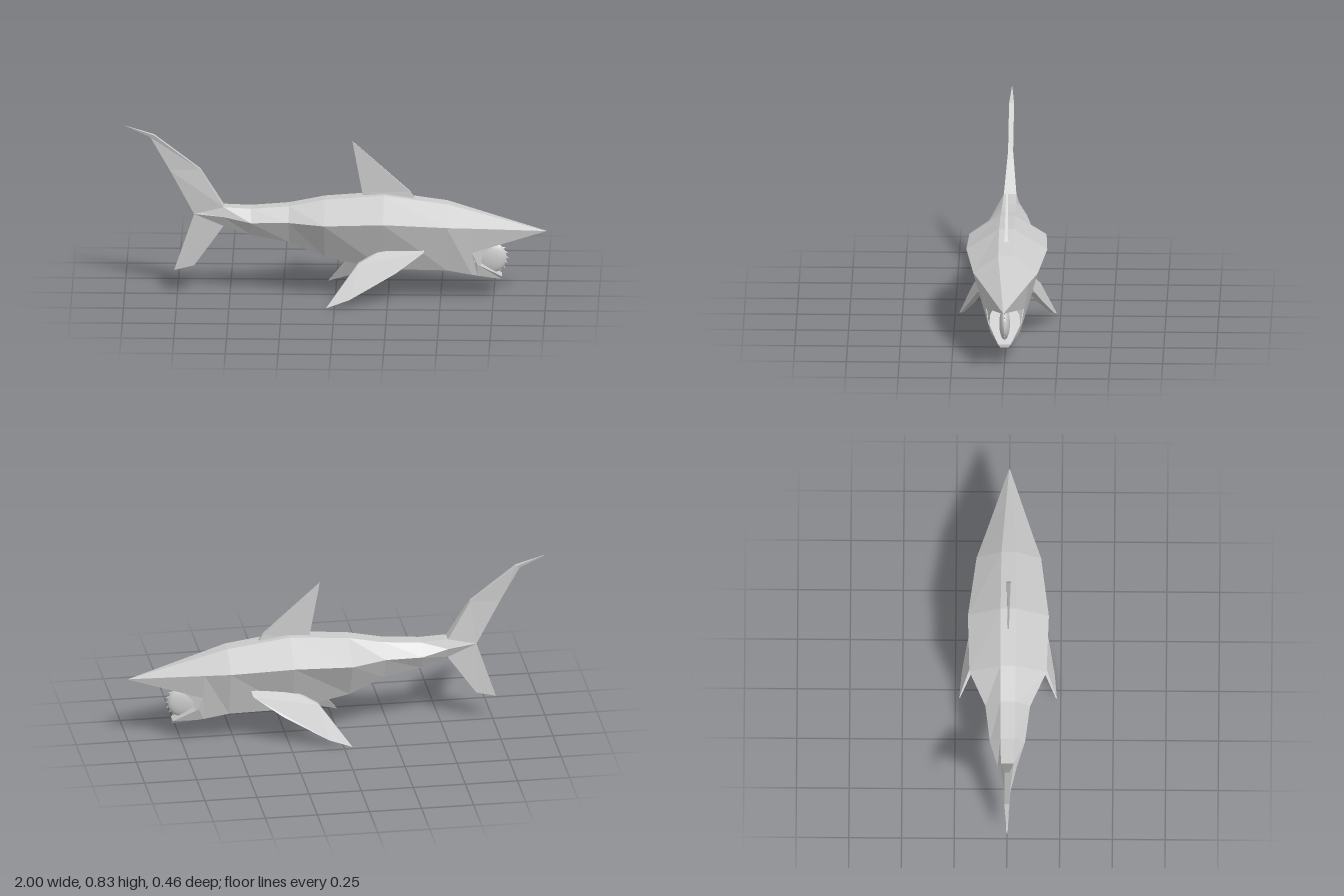
import * as THREE from 'three';

const grey = new THREE.MeshStandardMaterial({ color: 0xcccccc, flatShading: true, side: THREE.DoubleSide });
const smooth = new THREE.MeshStandardMaterial({ color: 0xcccccc });

// Skin a row of cross-sections, each given as its +z half [x, y, z] and mirrored in z.
function loft(name, halves) {
  const rings = halves.map(h => [...h, ...h.slice().reverse().map(([x, y, z]) => [x, y, -z])]);
  const n = rings[0].length;
  let tris = [];
  for (let i = 0; i < rings.length - 1; i++) {
    for (let j = 0; j < n; j++) {
      const k = (j + 1) % n, a = rings[i], b = rings[i + 1];
      tris.push([a[j], b[j], b[k]], [a[j], b[k], a[k]]);
    }
  }
  const first = rings[0], last = rings[rings.length - 1];
  for (let j = 1; j < n - 1; j++) {
    tris.push([first[0], first[j], first[j + 1]], [last[0], last[j + 1], last[j]]);
  }
  // drop collapsed triangles and turn the skin outward
  const v = p => new THREE.Vector3(...p);
  tris = tris.filter(([a, b, c]) => v(b).sub(v(a)).cross(v(c).sub(v(a))).length() > 1e-9);
  const volume = tris.reduce((s, [a, b, c]) => s + v(a).dot(v(b).cross(v(c))), 0);
  if (volume < 0) tris = tris.map(([a, b, c]) => [a, c, b]);
  const g = new THREE.BufferGeometry();
  g.setAttribute('position', new THREE.Float32BufferAttribute(tris.flat(2), 3));
  g.computeVertexNormals();
  const mesh = new THREE.Mesh(g, grey);
  mesh.name = name;
  return mesh;
}

// Swept-back side fin: flat outline leaning outward as it drops
function pectoralFin(side) {
  const outline = [[-0.04, 0.003], [0.11, 0.2], [0.2, 0.25], [0.3, 0.27], [0.43, 0.28],
    [0.42, 0.25], [0.29, 0.16], [0.07, 0.04]];
  const shape = new THREE.Shape(outline.map(p => new THREE.Vector2(...p)));
  const g = new THREE.ExtrudeGeometry(shape, { depth: 1, bevelEnabled: false });
  const p = g.attributes.position;
  for (let i = 0; i < p.count; i++) {
    const y = p.getY(i);
    const thick = Math.min(0.026, 0.004 + y * 0.25);
    p.setZ(i, 0.231 - 0.43 * y + (p.getZ(i) - 0.5) * thick);
  }
  if (side < 0) {
    g.scale(1, 1, -1);
    // restore the winding after mirroring
    for (let i = 0; i < p.count; i += 3) {
      const a = new THREE.Vector3().fromBufferAttribute(p, i + 1);
      const b = new THREE.Vector3().fromBufferAttribute(p, i + 2);
      p.setXYZ(i + 1, b.x, b.y, b.z);
      p.setXYZ(i + 2, a.x, a.y, a.z);
    }
  }
  g.computeVertexNormals();
  const mesh = new THREE.Mesh(g, grey);
  mesh.name = side > 0 ? 'pectoralFinNear' : 'pectoralFinFar';
  return mesh;
}

// Rounded disc with a toothed rim held in the mouth
function sawDisc() {
  const group = new THREE.Group();
  group.name = 'toothedDisc';
  const disc = new THREE.Mesh(new THREE.SphereGeometry(0.077, 28, 18), smooth);
  disc.scale.z = 0.33;
  disc.name = 'disc';
  group.add(disc);
  const count = 20;
  for (let i = 0; i < count; i++) {
    const a = (i / count) * Math.PI * 2;
    const tooth = new THREE.Mesh(new THREE.ConeGeometry(0.011, 0.022, 4), grey);
    tooth.position.set(Math.cos(a) * 0.077, Math.sin(a) * 0.077, 0);
    tooth.rotation.z = a - Math.PI / 2 - 0.3;
    tooth.scale.z = 0.6;
    tooth.name = 'discTooth';
    group.add(tooth);
  }
  group.position.set(0.735, 0.193, 0);
  return group;
}

export function createModel() {
  const model = new THREE.Group();
  model.name = 'shark';

  // Body sections: x, top y, top half width, side y, side half width, belly y, belly half width
  const body = [
    [-0.67, 0.41, 0.006, 0.4, 0.012, 0.39, 0.006],
    [-0.53, 0.44, 0.03, 0.395, 0.045, 0.345, 0.022],
    [-0.4, 0.434, 0.034, 0.377, 0.083, 0.307, 0.04],
    [-0.22, 0.448, 0.035, 0.386, 0.106, 0.275, 0.052],
    [-0.05, 0.482, 0.036, 0.393, 0.183, 0.212, 0.082],
    [0.23, 0.504, 0.037, 0.404, 0.192, 0.157, 0.09],
    [0.53, 0.463, 0.035, 0.38, 0.153, 0.152, 0.088],
    [0.65, 0.428, 0.026, 0.366, 0.113, 0.125, 0.07],
  ];
  model.add(loft('body', body.map(([x, ty, tz, my, mz, by, bz]) => [[x, ty, tz], [x, my, mz], [x, by, bz]])));

  // Pointed snout over the open mouth
  model.add(loft('snout', [
    [[0.65, 0.428, 0.026], [0.65, 0.366, 0.113], [0.65, 0.24, 0.09]],
    [[1, 0.325, 0.001], [1, 0.324, 0.001], [1, 0.323, 0.001]],
  ]));

  // Lower jaw
  model.add(loft('lowerJaw', [
    [[0.648, 0.24, 0.09], [0.648, 0.126, 0.071]],
    [[0.675, 0.18, 0.08], [0.675, 0.119, 0.062]],
    [[0.79, 0.106, 0.03], [0.79, 0.09, 0.018]],
  ]));

  // Cheek webs at the mouth corners
  const corners = [[0.65, 0.24], [0.74, 0.26], [0.7, 0.225], [0.69, 0.172], [0.66, 0.19]];
  const web = new THREE.ShapeGeometry(new THREE.Shape(corners.map(c => new THREE.Vector2(...c))));
  for (const side of [1, -1]) {
    const g = web.clone(), p = g.attributes.position;
    for (let i = 0; i < p.count; i++) p.setZ(i, side * (0.085 - (p.getX(i) - 0.65) * 0.3));
    g.computeVertexNormals();
    const cheek = new THREE.Mesh(g, grey);
    cheek.name = 'cheek';
    model.add(cheek);
  }

  // Tail lobes, each section running from leading to trailing edge
  model.add(loft('upperTail', [
    [[-0.53, 0.44, 0.03], [-0.67, 0.4, 0.012]],
    [[-0.64, 0.62, 0.012], [-0.785, 0.613, 0.006]],
    [[-0.86, 0.787, 0.012], [-0.878, 0.776, 0.006]],
    [[-0.995, 0.831, 0.001], [-0.995, 0.829, 0.001]],
  ]));
  model.add(loft('lowerTail', [
    [[-0.53, 0.345, 0.022], [-0.67, 0.4, 0.012]],
    [[-0.67, 0.145, 0.008], [-0.765, 0.12, 0.003]],
  ]));

  // Dorsal fin
  model.add(loft('dorsalFin', [
    [[0.375, 0.482, 0.011], [0.13, 0.48, 0.003]],
    [[0.355, 0.515, 0.008], [0.127, 0.51, 0.003]],
    [[0.084, 0.76, 0.002], [0.08, 0.763, 0.001]],
  ]));

  for (const side of [1, -1]) model.add(pectoralFin(side));
  model.add(sawDisc());
  return model;
}
